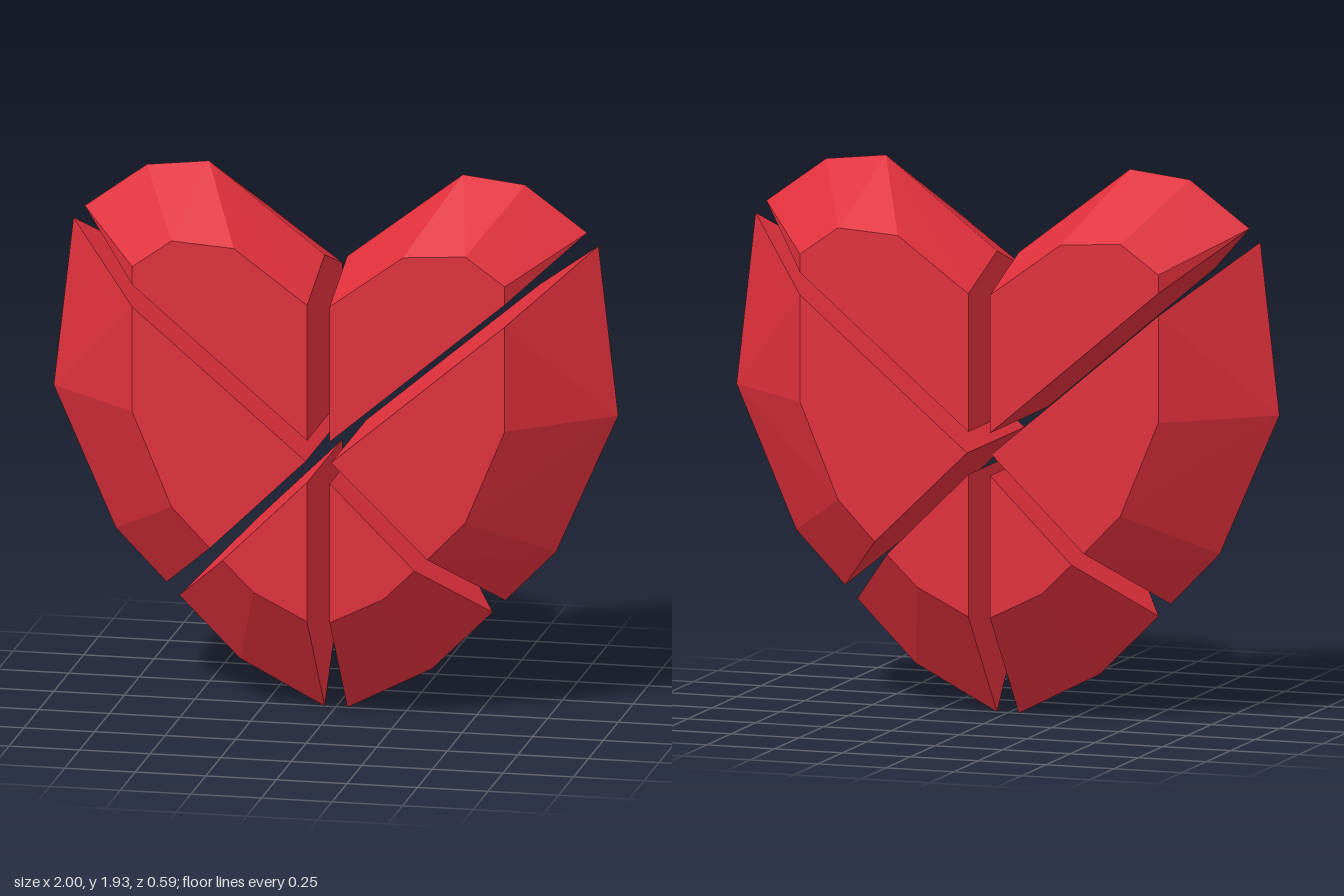
import * as THREE from 'three';
import { ConvexGeometry } from 'three/addons/geometries/ConvexGeometry.js';

const HALF_DEPTH = 0.295;

// Each shard: rim = outline on the middle plane, face = outline of the flat front and back
const shards = {
  upperShard: {
    rim: [[0.04, 1.03], [0.04, 1.62], [0.45, 1.935], [0.67, 1.91], [0.89, 1.75]],
    face: [[0.04, 1.03], [0.04, 1.515], [0.3, 1.705], [0.52, 1.72], [0.66, 1.62], [0.66, 1.555]],
  },
  sideShard: {
    rim: [[0.045, 0.955], [0.93, 1.705], [1, 1.1], [0.78, 0.6], [0.6, 0.415]],
    face: [[0.045, 0.955], [0.66, 1.476], [0.66, 1.1], [0.52, 0.765], [0.385, 0.625]],
  },
  lowerShard: {
    rim: [[0.04, 0.88], [0.555, 0.37], [0.34, 0.155], [0.04, 0]],
    face: [[0.04, 0.88], [0.34, 0.583], [0.23, 0.475], [0.04, 0.38]],
  },
};

// Bevelled gem piece, mirrored across x when side is -1
function shardGeometry({ rim, face }, side) {
  const at = (z) => ([x, y]) => new THREE.Vector3(side * x, y, z);
  return new ConvexGeometry([
    ...rim.map(at(0)),
    ...face.map(at(HALF_DEPTH)),
    ...face.map(at(-HALF_DEPTH)),
  ]);
}

export function createModel() {
  const group = new THREE.Group();
  group.name = 'splitHeart';
  const red = new THREE.MeshStandardMaterial({ color: 0xe0303c, flatShading: true });

  // Three shards on each half of the heart
  for (const [suffix, side] of [['Left', 1], ['Right', -1]]) {
    for (const [name, outline] of Object.entries(shards)) {
      const mesh = new THREE.Mesh(shardGeometry(outline, side), red);
      mesh.name = name + suffix;
      group.add(mesh);
    }
  }
  return group;
}
